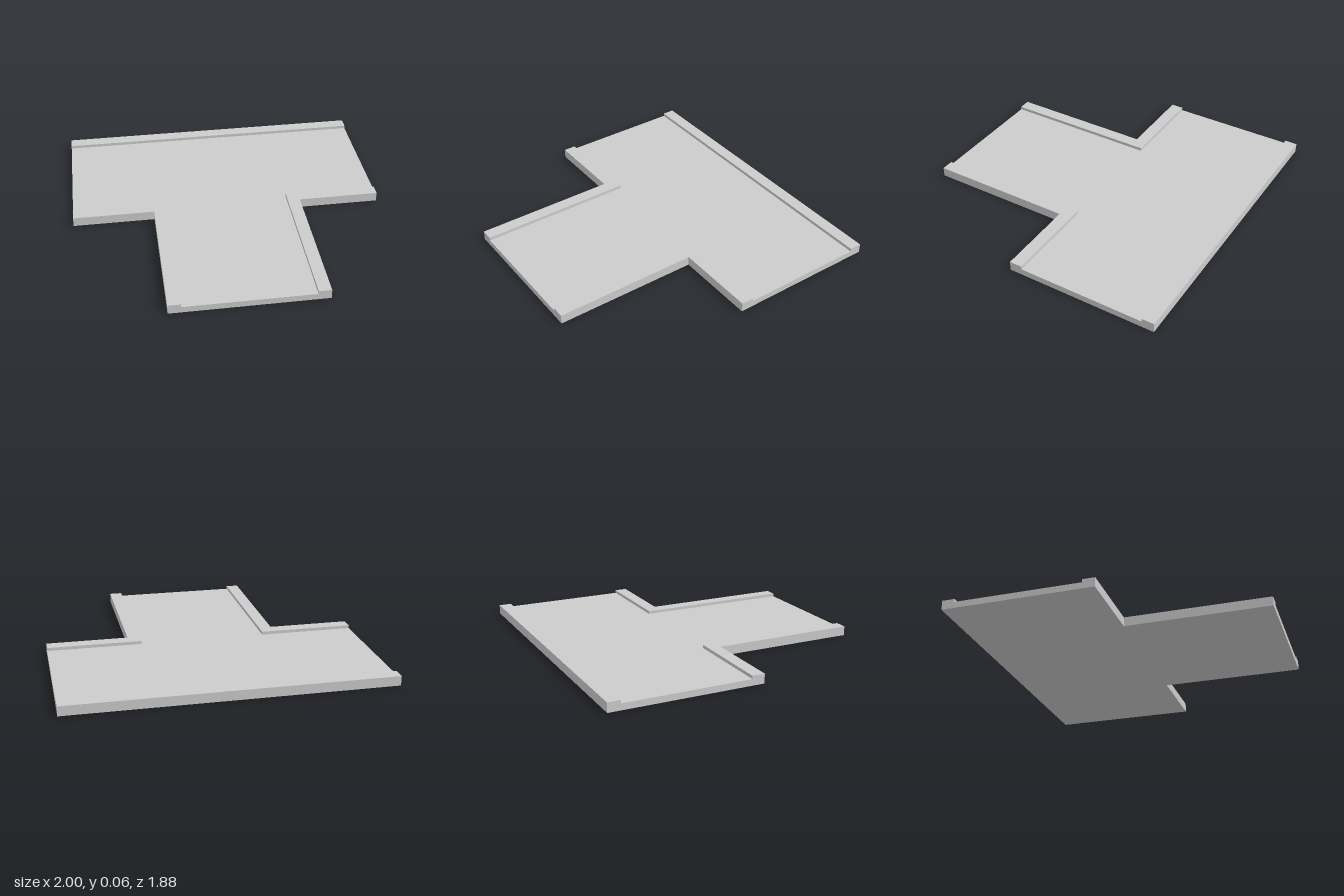
import * as THREE from 'three';

const HALF_X = 1, BACK = -0.94, FRONT = 0.94;   // overall extents
const CURB = 0.08, CURB_H = 0.06, ROAD_H = 0.04; // curb width and heights
const STEM = 0.48, CORNER_Z = 0.02;              // side road half width, outer corner depth

const material = new THREE.MeshStandardMaterial({ color: 0xcccccc, flatShading: true });

// Extrudes a ground outline of [x, z] points upwards from y = 0
function slab(name, outline, height) {
  const shape = new THREE.Shape(outline.map(([x, z]) => new THREE.Vector2(x, -z)));
  const geometry = new THREE.ExtrudeGeometry(shape, { depth: height, bevelEnabled: false });
  geometry.rotateX(-Math.PI / 2);
  const mesh = new THREE.Mesh(geometry, material);
  mesh.name = name;
  return mesh;
}

export function createModel() {
  const group = new THREE.Group();
  group.name = 'roadJunction';

  const backIn = BACK + CURB, frontIn = CORNER_Z - CURB, stemIn = STEM - CURB;

  // T-shaped road surface between the curbs
  group.add(slab('road', [
    [-HALF_X, backIn], [HALF_X, backIn], [HALF_X, frontIn], [stemIn, frontIn],
    [stemIn, FRONT], [-stemIn, FRONT], [-stemIn, frontIn], [-HALF_X, frontIn],
  ], ROAD_H));

  // Straight curb along the back
  group.add(slab('backCurb', [
    [-HALF_X, BACK], [HALF_X, BACK], [HALF_X, backIn], [-HALF_X, backIn],
  ], CURB_H));

  // L-shaped curbs around both inner corners
  for (const [name, s] of [['leftCornerCurb', 1], ['rightCornerCurb', -1]]) {
    group.add(slab(name, [
      [HALF_X, frontIn], [HALF_X, CORNER_Z], [STEM, CORNER_Z],
      [STEM, FRONT], [stemIn, FRONT], [stemIn, frontIn],
    ].map(([x, z]) => [s * x, z]), CURB_H));
  }
  return group;
}
